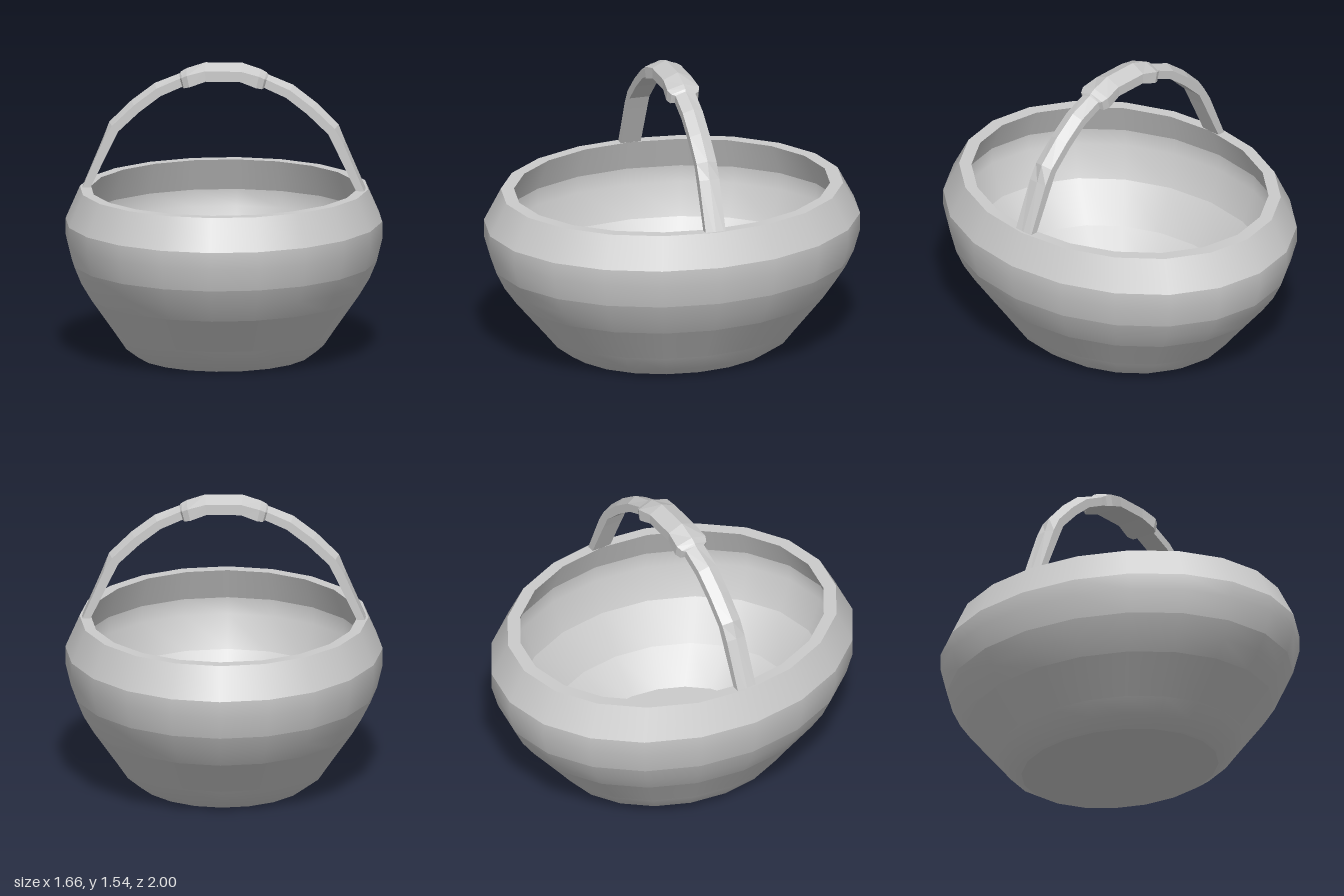
import * as THREE from 'three';
import { mergeGeometries } from 'three/addons/utils/BufferGeometryUtils.js';

const SIDES = 20;
const OVAL = 0.83; // width relative to length

// Each band is smooth in itself, with a crease to its neighbours: [radius, height]
function ovalBands(bands) {
  const parts = bands.map((band) => {
    const points = band.map(([r, y]) => new THREE.Vector2(r, y));
    return new THREE.LatheGeometry(points, SIDES);
  });
  return mergeGeometries(parts).scale(OVAL, 1, 1);
}

// Loft of five-sided sections (flat underside, straight sides, ridged top)
function ridgedStrap(stations) {
  const position = [];
  const rings = stations.map(([x, y, tilt, side, ridge, w]) => {
    const a = THREE.MathUtils.degToRad(tilt);
    const at = (z, v) => [x + Math.sin(a) * v, y + Math.cos(a) * v, z];
    return [at(-w, 0), at(w, 0), at(w, side), at(0, side + ridge), at(-w, side)];
  });
  for (let i = 0; i < rings.length - 1; i++) {
    for (let j = 0; j < 5; j++) {
      const k = (j + 1) % 5;
      const a = rings[i][j], b = rings[i][k], c = rings[i + 1][j], d = rings[i + 1][k];
      position.push(...a, ...b, ...c, ...b, ...d, ...c);
    }
  }
  const geometry = new THREE.BufferGeometry();
  geometry.setAttribute('position', new THREE.Float32BufferAttribute(position, 3));
  geometry.computeVertexNormals();
  return geometry;
}

export function createModel() {
  const model = new THREE.Group();
  const smooth = new THREE.MeshStandardMaterial({ color: 0xcccccc });
  const faceted = new THREE.MeshStandardMaterial({ color: 0xcccccc, flatShading: true });
  const add = (name, geometry, material) => {
    const mesh = new THREE.Mesh(geometry, material);
    mesh.name = name;
    model.add(mesh);
  };

  // Outside of the bowl, from the base up
  add('bowlOutside', ovalBands([
    [[0, 0], [0.55, 0]],
    [[0.55, 0], [0.63, 0.05], [0.695, 0.13]],
    [[0.695, 0.13], [0.855, 0.32]],
    [[0.855, 0.32], [0.92, 0.41], [0.965, 0.5]],
    [[0.965, 0.5], [1, 0.62], [1, 0.71]],
    [[1, 0.71], [0.91, 0.88]],
  ]), smooth);

  add('rim', ovalBands([[[0.91, 0.88], [0.84, 0.88]]]), smooth);

  // Hollow inside, from the rim down to the floor
  add('bowlInside', ovalBands([
    [[0.84, 0.88], [0.915, 0.71]],
    [[0.915, 0.71], [0.915, 0.62], [0.84, 0.45]],
    [[0.84, 0.45], [0.68, 0.25]],
    [[0.68, 0.25], [0.475, 0.1]],
    [[0.475, 0.1], [0, 0.1]],
  ]), smooth);

  // Half of the handle: x, y, tilt, side height, ridge height, half width
  const half = [
    [0.735, 0.8, 72, 0.035, 0.002, 0.055],
    [0.585, 1.11, 66, 0.05, 0.006, 0.055],
    [0.55, 1.18, 50, 0.045, 0.022, 0.055],
    [0.44, 1.285, 40, 0.045, 0.025, 0.055],
    [0.33, 1.37, 28, 0.045, 0.025, 0.055],
    [0.215, 1.422, 16, 0.045, 0.02, 0.055],
    // wider grip
    [0.205, 1.418, 14, 0.055, 0.025, 0.075],
    [0.175, 1.425, 13, 0.063, 0.027, 0.088],
    [0.09, 1.455, 5, 0.055, 0.035, 0.078],
  ];
  const mirrored = half.map(([x, y, tilt, ...rest]) => [-x, y, -tilt, ...rest]).reverse();
  add('handle', ridgedStrap([...half, ...mirrored]), faceted);

  return model;
}
